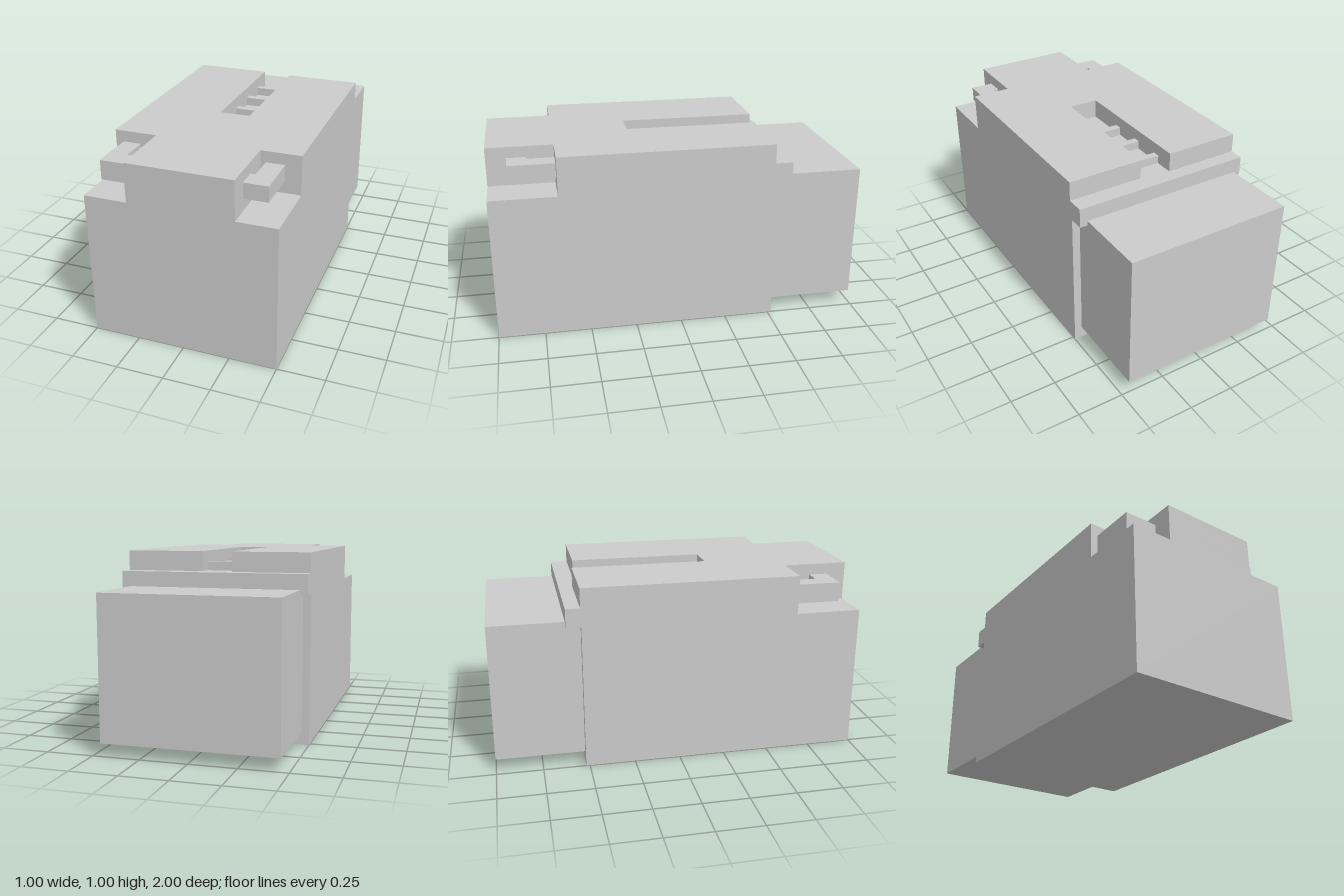
import * as THREE from 'three';

const material = new THREE.MeshStandardMaterial({ color: 0xcccccc, flatShading: true });

function addMesh(parent, name, geometry) {
  const mesh = new THREE.Mesh(geometry, material);
  mesh.name = name;
  parent.add(mesh);
  return mesh;
}

// Box given by its limits on each axis
function addBox(parent, name, [x0, x1], [y0, y1], [z0, z1]) {
  const geometry = new THREE.BoxGeometry(x1 - x0, y1 - y0, z1 - z0);
  geometry.translate((x0 + x1) / 2, (y0 + y1) / 2, (z0 + z1) / 2);
  return addMesh(parent, name, geometry);
}

// Plan outline of [x, z] points raised from y0 to y1
function addSlab(parent, name, plan, y0, y1) {
  const shape = new THREE.Shape(plan.map(([x, z]) => new THREE.Vector2(x, -z)));
  const geometry = new THREE.ExtrudeGeometry(shape, { depth: y1 - y0, bevelEnabled: false });
  geometry.rotateX(-Math.PI / 2).translate(0, y0, 0);
  return addMesh(parent, name, geometry);
}

export function createModel() {
  const group = new THREE.Group();
  const deck = 0.79, ledge = 0.895, slot = 0.083;

  // Front outline shared by both upper layers, with the corner notches cut out
  const notchedFront = [
    [-0.5, 0.645], [-0.27, 0.645], [-0.27, 1],
    [0.288, 1], [0.288, 0.645], [0.5, 0.645],
  ];

  // Main housing: lower block, ledge layer and slotted top
  addBox(group, 'lowerBody', [-0.5, 0.5], [0, deck], [-0.52, 1]);
  addSlab(group, 'ledgeLayer', [...notchedFront, [0.5, -0.6], [-0.5, -0.6]], deck, ledge);
  addSlab(group, 'slottedTop', [
    ...notchedFront,
    [0.5, -0.503], [slot, -0.503], [slot, 0.23],
    [-slot, 0.23], [-slot, -0.523], [-0.5, -0.523],
  ], ledge, 1);

  // Narrower block at the back
  addBox(group, 'rearBlock', [-0.46, 0.457], [0.067, 0.815], [-1, -0.52]);

  // Cross ribs in the slot
  for (const z of [-0.42, -0.232, -0.043]) {
    addBox(group, 'slotRib', [-slot, slot], [ledge, 0.94], [z, z + 0.04]);
  }

  // L-shaped latches floating in the corner notches
  addSlab(group, 'rightLatch', [
    [-0.458, 0.645], [-0.36, 0.645], [-0.36, 0.79],
    [-0.27, 0.79], [-0.27, 0.893], [-0.458, 0.893],
  ], 0.835, 0.94);
  addSlab(group, 'leftLatch', [
    [0.415, 0.645], [0.415, 0.893], [0.288, 0.893],
    [0.288, 0.79], [0.315, 0.79], [0.315, 0.645],
  ], 0.857, 0.94);

  return group;
}
